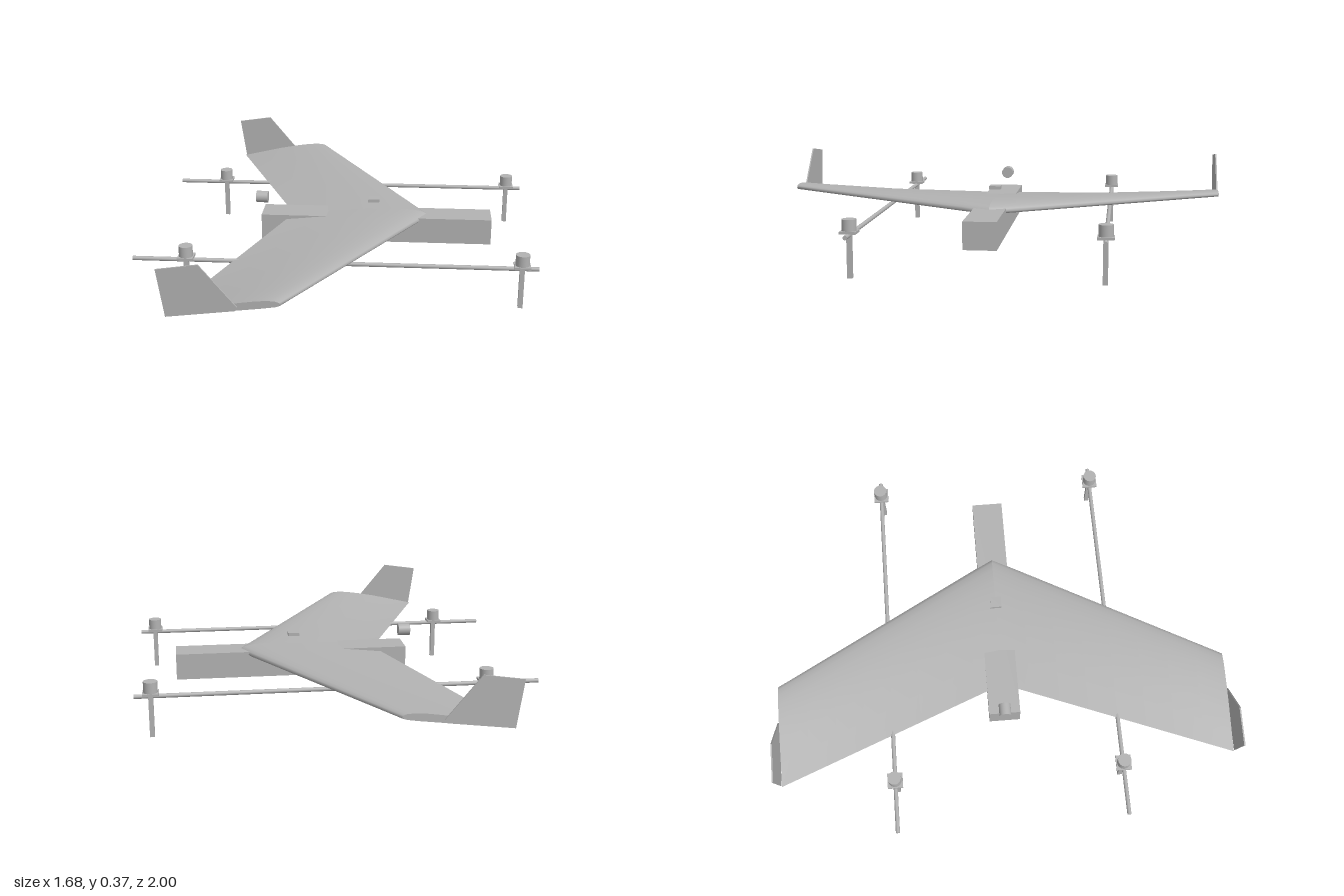
import * as THREE from 'three';

const grey = new THREE.MeshStandardMaterial({ color: 0xb2b2b2 });
grey.name = 'plain grey';

// Airfoil in chord units: [fraction back from the leading edge, height]
const UPPER = [[1, 0], [0.77, 0.021], [0.55, 0.042], [0.35, 0.052], [0.2, 0.053], [0.1, 0.045], [0.04, 0.033], [0.01, 0.018]];
const LOWER = [[0, 0], [0.01, -0.012], [0.04, -0.018], [0.15, -0.02], [0.4, -0.017], [0.7, -0.008], [1, 0]];
const FOIL = [...UPPER, ...LOWER];
const TIP = 0.992;

// Swept, tapered and twisted wing section at span position z
function section(z) {
  const t = Math.abs(z) / TIP, mix = THREE.MathUtils.lerp;
  const lead = mix(0.385, -0.16, t), trail = mix(-0.222, -0.598, t);
  const leadY = mix(0.204, 0.214, t), trailY = mix(0.2, 0.156, t);
  return FOIL.map(([f, h]) => [mix(lead, trail, f), mix(leadY, trailY, f) + h * (lead - trail), z]);
}

function wingHalf(z0, z1) {
  const spans = 8, n = FOIL.length, pos = [], index = [];
  for (let i = 0; i <= spans; i++) pos.push(...section(z0 + (z1 - z0) * i / spans).flat());
  for (let i = 0; i < spans; i++) {
    for (let j = 0; j < n - 1; j++) {
      const a = i * n + j, c = a + n;
      index.push(a, c, a + 1, a + 1, c, c + 1);
    }
  }
  // Flat cap at the tip
  const base = pos.length / 3, atMax = z1 > 0;
  pos.push(...section(atMax ? z1 : z0).flat());
  for (let j = 1; j < n - 1; j++) {
    if (atMax) index.push(base, base + j + 1, base + j);
    else index.push(base, base + j, base + j + 1);
  }
  const g = new THREE.BufferGeometry();
  g.setAttribute('position', new THREE.Float32BufferAttribute(pos, 3));
  g.setIndex(index);
  g.computeVertexNormals();
  return g;
}

export function createModel() {
  const model = new THREE.Group();
  model.name = 'flyingWingDrone';

  const add = (name, geometry, x = 0, y = 0, z = 0, parent = model) => {
    const m = new THREE.Mesh(geometry, grey);
    m.name = name;
    m.position.set(x, y, z);
    parent.add(m);
    return m;
  };

  // Fuselage and wing
  add('fuselage', new THREE.BoxGeometry(1.027, 0.115, 0.137), 0.153, 0.158, 0);
  add('leftWing', wingHalf(0, TIP));
  add('rightWing', wingHalf(-TIP, 0));

  // Upright fins at the wing tips
  const finShape = new THREE.Shape([[-0.592, 0.154], [-0.33, 0.186], [-0.32, 0.2], [-0.46, 0.368], [-0.62, 0.345]]
    .map(([x, y]) => new THREE.Vector2(x, y)));
  const fin = new THREE.ExtrudeGeometry(finShape, { depth: 0.006, bevelEnabled: false });
  add('leftFin', fin, 0, 0, 0.994);
  add('rightFin', fin, 0, 0, -1);

  // Lift booms, each carrying two motors with landing legs
  const boom = new THREE.CylinderGeometry(0.009, 0.009, 1.677, 16).rotateZ(Math.PI / 2);
  const plate = new THREE.BoxGeometry(0.066, 0.01, 0.066);
  const motor = new THREE.CylinderGeometry(0.029, 0.029, 0.048, 24);
  const leg = new THREE.BoxGeometry(0.02, 0.18, 0.02);
  for (const side of [1, -1]) {
    const z = side * 0.498;
    add(side > 0 ? 'leftBoom' : 'rightBoom', boom, -0.002, 0.172, z);
    for (const x of [-0.616, 0.768]) {
      const unit = new THREE.Group();
      unit.name = (x > 0 ? 'front' : 'rear') + 'LiftUnit';
      unit.position.set(x, 0, z);
      model.add(unit);
      add('motorPlate', plate, 0, 0.184, 0, unit);
      add('liftMotor', motor, 0, 0.211, 0, unit);
      add('landingLeg', leg, 0, 0.09, 0, unit);
    }
  }

  // Pusher motor and sensor above the fuselage
  add('pusherMotor', new THREE.CylinderGeometry(0.026, 0.026, 0.052, 24).rotateZ(Math.PI / 2), -0.364, 0.277, 0);
  add('navigationSensor', new THREE.BoxGeometry(0.049, 0.014, 0.049), 0.141, 0.277, 0);

  return model;
}
